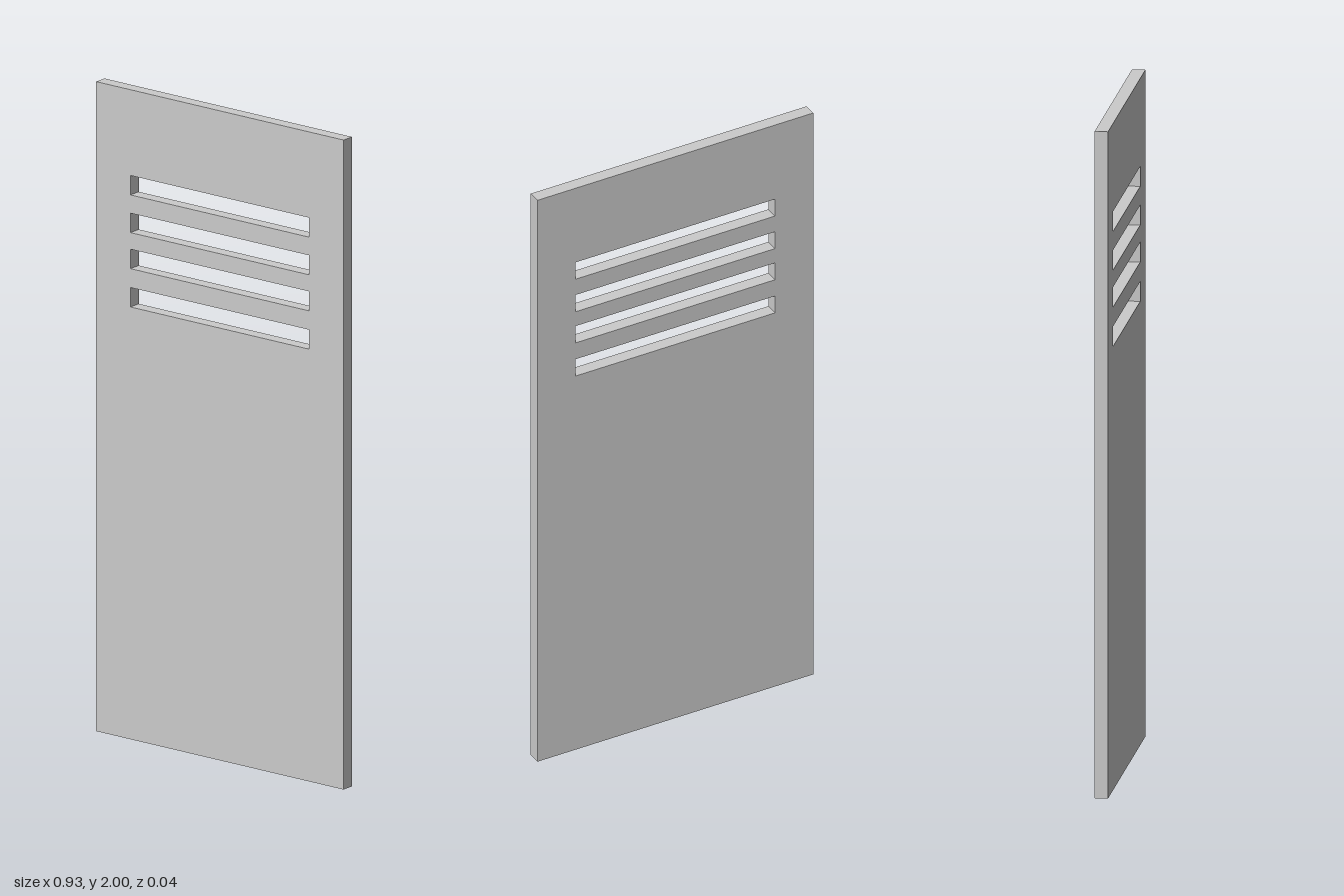
import * as THREE from 'three';

const WIDTH = 0.93, HEIGHT = 2, DEPTH = 0.04;
const SLOT_WIDTH = 0.672, SLOT_HEIGHT = 0.06;
const SLOT_CENTRES = [1.706, 1.59, 1.479, 1.361];

// Trace a rectangle centred on x = 0
function rectangle(path, width, bottom, top) {
  const w = width / 2;
  path.moveTo(-w, bottom);
  path.lineTo(w, bottom);
  path.lineTo(w, top);
  path.lineTo(-w, top);
  path.closePath();
  return path;
}

export function createModel() {
  const model = new THREE.Group();
  model.name = 'ventedDoor';

  // Flat door panel with four ventilation slots cut right through
  const outline = rectangle(new THREE.Shape(), WIDTH, 0, HEIGHT);
  for (const y of SLOT_CENTRES) {
    outline.holes.push(
      rectangle(new THREE.Path(), SLOT_WIDTH, y - SLOT_HEIGHT / 2, y + SLOT_HEIGHT / 2)
    );
  }
  const geometry = new THREE.ExtrudeGeometry(outline, { depth: DEPTH, bevelEnabled: false });
  geometry.translate(0, 0, -DEPTH / 2);

  const panel = new THREE.Mesh(geometry, new THREE.MeshStandardMaterial({ color: 0xcccccc }));
  panel.name = 'doorPanel';
  model.add(panel);
  return model;
}
